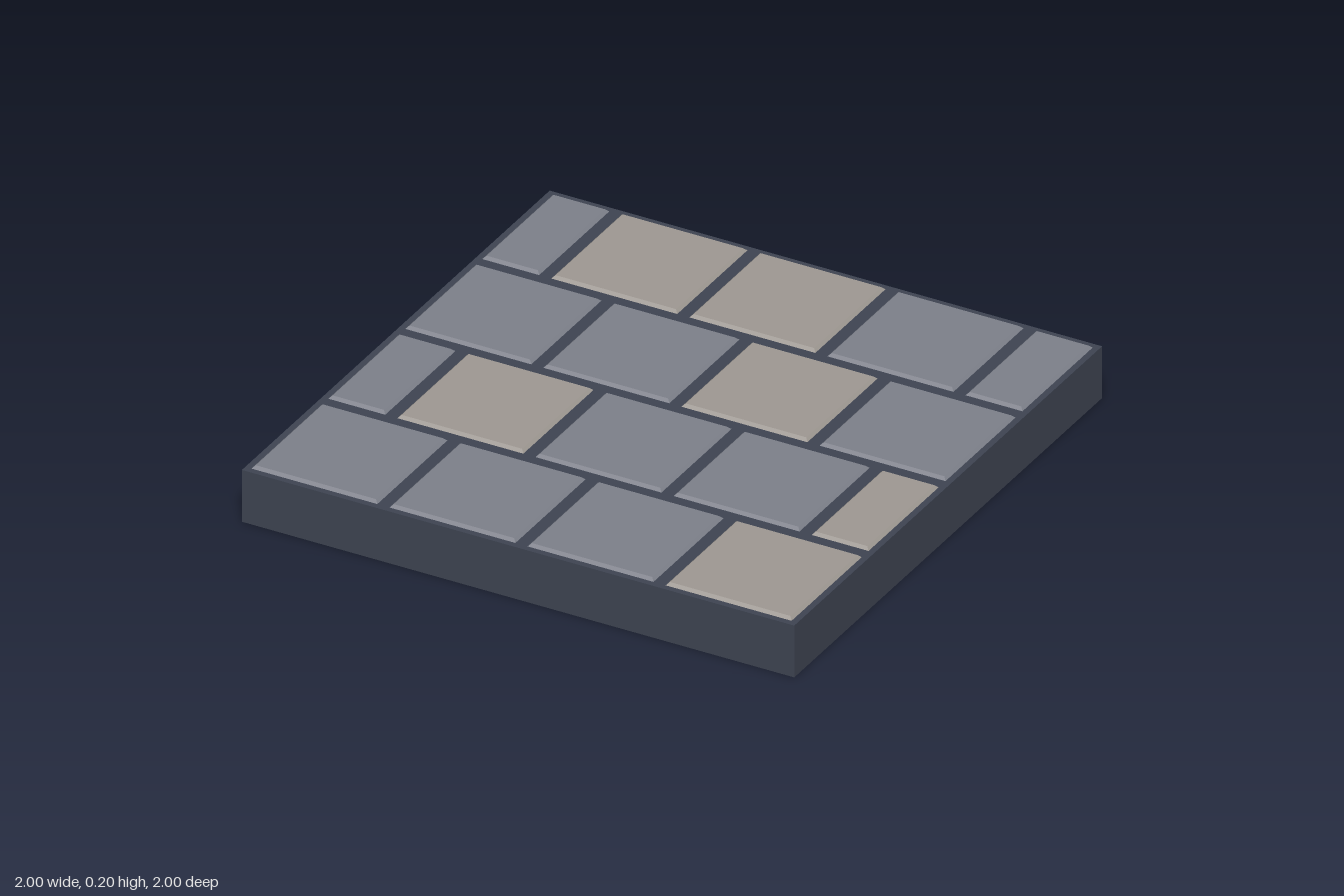
import * as THREE from 'three';

const SLAB_TOP = 0.19, TILE_TOP = 0.2, GAP = 0.02, BEVEL = 0.012;

// Tile with sloped edges: a box whose top corners are drawn inward
function tileGeometry(width, depth) {
  const height = TILE_TOP - SLAB_TOP + 0.002;
  const geo = new THREE.BoxGeometry(width, height, depth);
  const pos = geo.attributes.position;
  for (let i = 0; i < pos.count; i++) {
    if (pos.getY(i) > 0) {
      pos.setX(i, pos.getX(i) - Math.sign(pos.getX(i)) * BEVEL);
      pos.setZ(i, pos.getZ(i) - Math.sign(pos.getZ(i)) * BEVEL);
    }
  }
  geo.translate(0, TILE_TOP - height / 2, 0);
  geo.computeVertexNormals();
  return geo;
}

export function createModel() {
  const group = new THREE.Group();
  group.name = 'pavedFloor';

  const mortar = new THREE.MeshStandardMaterial({ color: 0x3e4452 });
  mortar.name = 'dark slate';
  const grey = new THREE.MeshStandardMaterial({ color: 0x7d808a });
  grey.name = 'cool grey stone';
  const tan = new THREE.MeshStandardMaterial({ color: 0x9e9892 });
  tan.name = 'warm grey stone';

  // Base slab
  const slab = new THREE.Mesh(new THREE.BoxGeometry(2, SLAB_TOP, 2), mortar);
  slab.name = 'slab';
  slab.position.y = SLAB_TOP / 2;
  group.add(slab);

  // Rows from back to front, tiles from -x to +x: g = cool grey, t = warm grey.
  // Five-tile rows are shifted by half a tile.
  ['gttgg', 'ggtg', 'gtggt', 'gggt'].forEach((row, r) => {
    const shift = row.length === 5 ? -0.25 : 0;
    [...row].forEach((tone, c) => {
      const x0 = Math.max(-1, -1 + shift + c * 0.5);
      const x1 = Math.min(1, -0.5 + shift + c * 0.5);
      const tile = new THREE.Mesh(
        tileGeometry(x1 - x0 - 2 * GAP, 0.5 - 2 * GAP),
        tone === 't' ? tan : grey
      );
      tile.name = `tileRow${r + 1}Column${c + 1}`;
      tile.position.set((x0 + x1) / 2, 0, -0.75 + r * 0.5);
      group.add(tile);
    });
  });

  return group;
}
